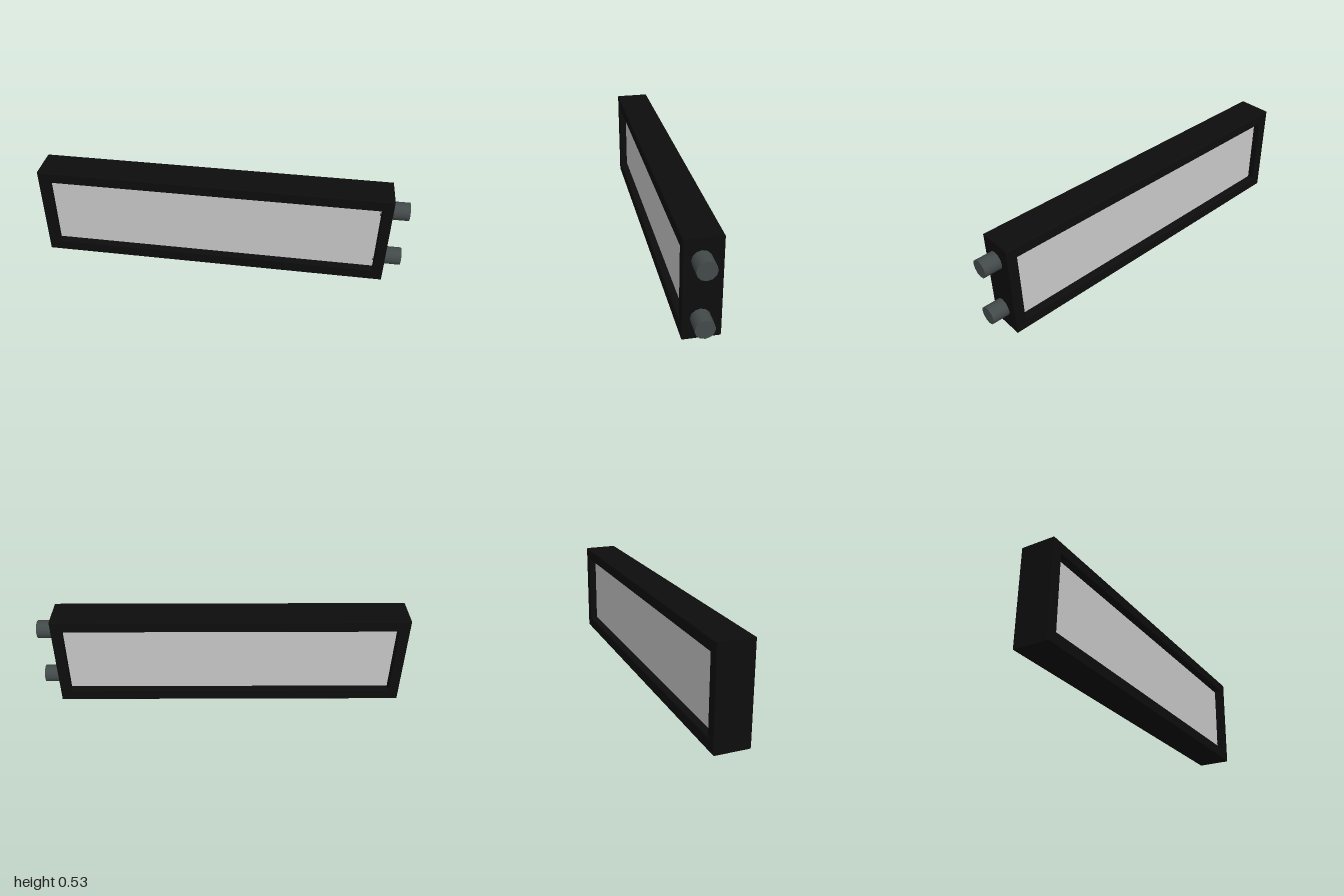
import * as THREE from 'three';

const frameMat = new THREE.MeshStandardMaterial({ name: 'black', color: 0x0d0d0d });
const panelMat = new THREE.MeshStandardMaterial({ name: 'light grey', color: 0xc9c9c9 });
const pegMat = new THREE.MeshStandardMaterial({ name: 'slate grey', color: 0x434a4a });

// Adds a closed rectangle to a shape or path
function rect(path, x0, y0, x1, y1) {
  path.moveTo(x0, y0);
  path.lineTo(x1, y0);
  path.lineTo(x1, y1);
  path.lineTo(x0, y1);
  path.closePath();
  return path;
}

export function createModel() {
  const model = new THREE.Group();
  model.name = 'framedPanel';

  const add = (name, geometry, material, x = 0, y = 0, z = 0) => {
    const mesh = new THREE.Mesh(geometry, material);
    mesh.name = name;
    mesh.position.set(x, y, z);
    model.add(mesh);
    return mesh;
  };

  // Frame with a rectangular opening and slightly eased edges
  const bevel = 0.004, halfDepth = 0.095;
  const outline = rect(new THREE.Shape(), -1 + bevel, bevel, 0.908 - bevel, 0.53 - bevel);
  outline.holes.push(rect(new THREE.Path(), -0.942 - bevel, 0.065 - bevel, 0.852 + bevel, 0.468 + bevel));
  const frame = new THREE.ExtrudeGeometry(outline, {
    depth: 2 * (halfDepth - bevel),
    bevelEnabled: true, bevelSize: bevel, bevelThickness: bevel, bevelSegments: 1,
  });
  frame.translate(0, 0, -halfDepth + bevel);
  add('frame', frame, frameMat);

  // Panel recessed on both faces
  add('panel', new THREE.BoxGeometry(1.81, 0.42, 0.11), panelMat, -0.045, 0.2665, 0);

  // Two pegs reaching through the end of the frame
  const pegStart = 0.846, pegLength = 1 - pegStart;
  const peg = new THREE.CylinderGeometry(0.049, 0.049, pegLength, 12);
  peg.rotateZ(-Math.PI / 2);
  for (const [name, y] of [['lowerPeg', 0.113], ['upperPeg', 0.42]]) {
    add(name, peg, pegMat, pegStart + pegLength / 2, y, 0.008);
  }

  return model;
}
